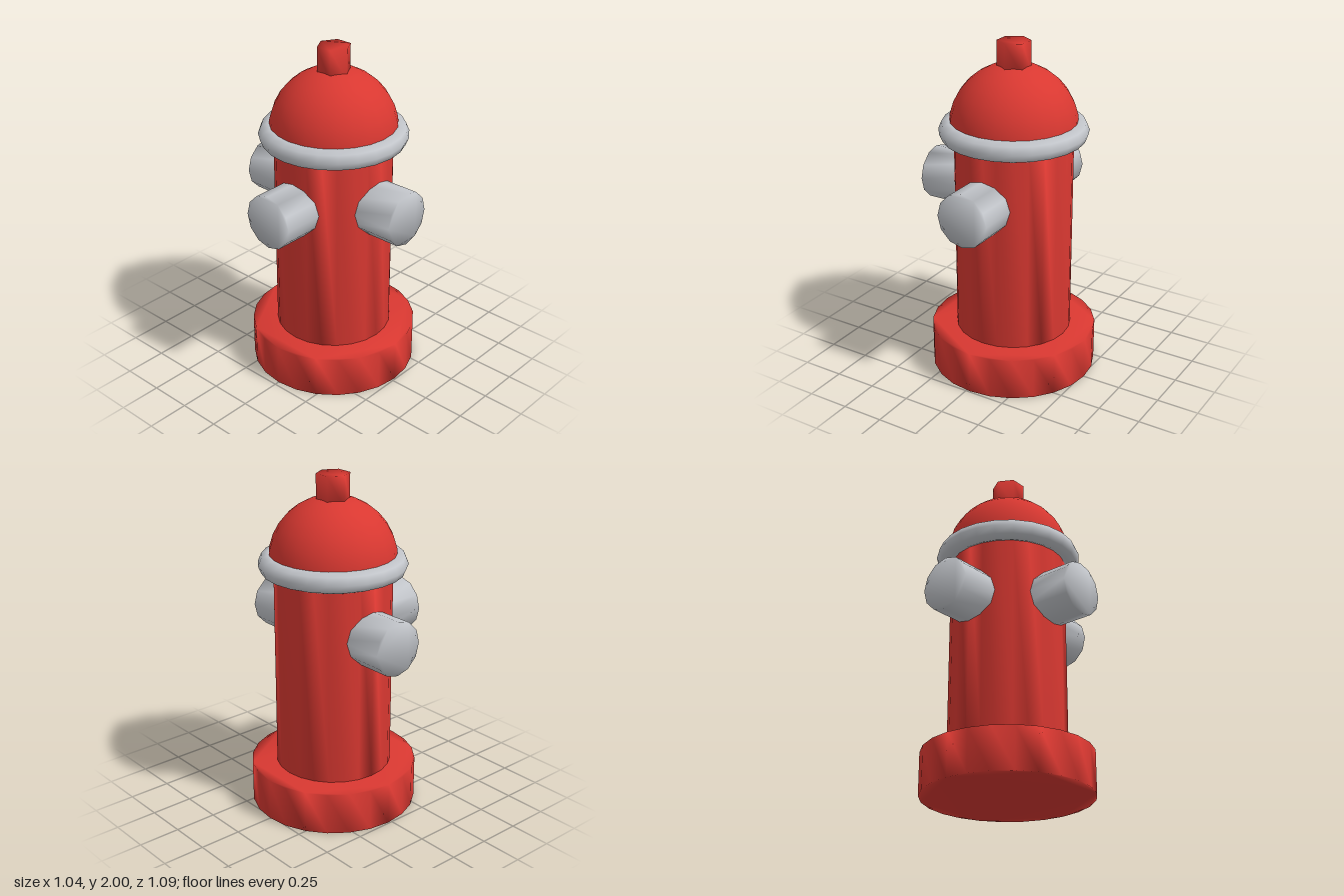
import * as THREE from 'three';
import { mergeVertices } from 'three/addons/utils/BufferGeometryUtils.js';

// Closed prism along +z whose corners share normals, giving soft rounded shading
function softPrism(radius, sides, from, to, phase = 0) {
  const points = [];
  for (let i = 0; i < sides; i++) {
    const a = phase + (i / sides) * Math.PI * 2;
    points.push(new THREE.Vector2(Math.cos(a) * radius, Math.sin(a) * radius));
  }
  let geometry = new THREE.ExtrudeGeometry(new THREE.Shape(points), { depth: to - from, bevelEnabled: false });
  geometry.translate(0, 0, from);
  geometry.deleteAttribute('normal');
  geometry.deleteAttribute('uv');
  geometry = mergeVertices(geometry, 1e-4);
  geometry.computeVertexNormals();
  return geometry;
}

export function createModel() {
  const red = new THREE.MeshStandardMaterial({ color: 0xd93831 });
  red.name = 'red paint';
  const silver = new THREE.MeshStandardMaterial({ color: 0xc2c5ca });
  silver.name = 'silver metal';

  const hydrant = new THREE.Group();
  hydrant.name = 'fireHydrant';
  const add = (name, geometry, material) => {
    const mesh = new THREE.Mesh(geometry, material);
    mesh.name = name;
    mesh.position.x = 0.022; // the single side outlet shifts the barrel off centre
    hydrant.add(mesh);
    return mesh;
  };
  const upright = (...args) => softPrism(...args).rotateX(-Math.PI / 2);

  // Base, barrel and top nut
  add('base', upright(0.493, 24, 0, 0.25), red);
  add('barrel', upright(0.343, 24, 0.25, 1.5), red);
  add('topNut', upright(0.097, 6, 1.82, 2, Math.PI / 2), red);

  // Domed bonnet
  const dome = new THREE.SphereGeometry(0.37, 24, 8, 0, Math.PI * 2, 0, Math.PI / 2);
  add('bonnet', dome.translate(0, 1.5, 0), red);

  // Collar ring
  const ring = new THREE.TorusGeometry(0.368, 0.062, 8, 24).rotateX(Math.PI / 2);
  add('collar', ring.translate(0, 1.483, 0), silver);

  // Outlets at the front, back and right
  const outlets = { frontOutlet: 0, backOutlet: Math.PI, rightOutlet: -Math.PI / 2 };
  for (const [name, turn] of Object.entries(outlets)) {
    const outlet = add(name, softPrism(0.16, 12, 0.2, 0.543), silver);
    outlet.position.y = 1.115;
    outlet.rotation.y = turn;
  }
  return hydrant;
}
